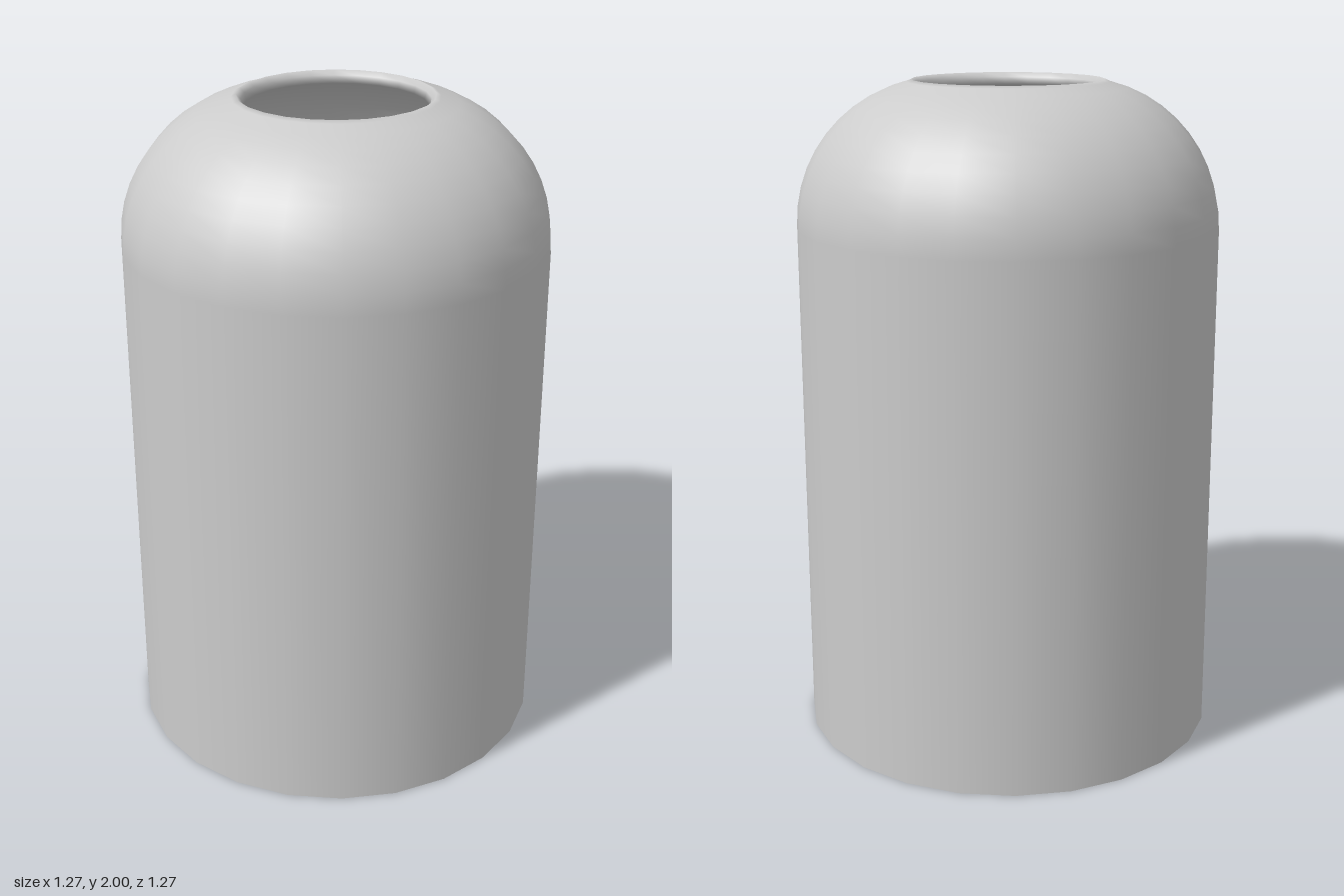
import * as THREE from 'three';

const SIDES = 24;
const RADIUS = 0.635, WALL = 0.035, SHOULDER_Y = 1.57, SHOULDER_X = 0.2;

// Quarter-like shoulder arc around (SHOULDER_X, SHOULDER_Y), from the wall up to the mouth
function shoulderArc(radius, mouthX, steps = 10) {
  const end = Math.acos((mouthX - SHOULDER_X) / radius);
  return Array.from({ length: steps + 1 }, (_, i) => {
    const a = (end * i) / steps;
    return new THREE.Vector2(SHOULDER_X + radius * Math.cos(a), SHOULDER_Y + radius * Math.sin(a));
  });
}

export function createModel() {
  const group = new THREE.Group();
  const material = new THREE.MeshStandardMaterial({ color: 0xcccccc });
  const add = (name, geometry) => {
    const mesh = new THREE.Mesh(geometry, material);
    mesh.name = name;
    group.add(mesh);
    return mesh;
  };

  // Hollow shell: outer wall, shoulder, rounded lip, then back down the inside
  const outer = shoulderArc(RADIUS - SHOULDER_X, 0.3);
  const inner = shoulderArc(RADIUS - WALL - SHOULDER_X, 0.267).reverse();
  const profile = [
    new THREE.Vector2(RADIUS, 0),
    ...outer,
    new THREE.Vector2(0.286, 2),
    new THREE.Vector2(0.273, 1.986),
    ...inner,
    new THREE.Vector2(RADIUS - WALL, WALL),
  ];
  add('shell', new THREE.LatheGeometry(profile, SIDES));

  // Flat underside and inside floor
  add('base', new THREE.CircleGeometry(RADIUS, SIDES).rotateX(Math.PI / 2));
  add('innerFloor', new THREE.CircleGeometry(RADIUS - WALL, SIDES).rotateX(-Math.PI / 2)).position.y = WALL;

  return group;
}
